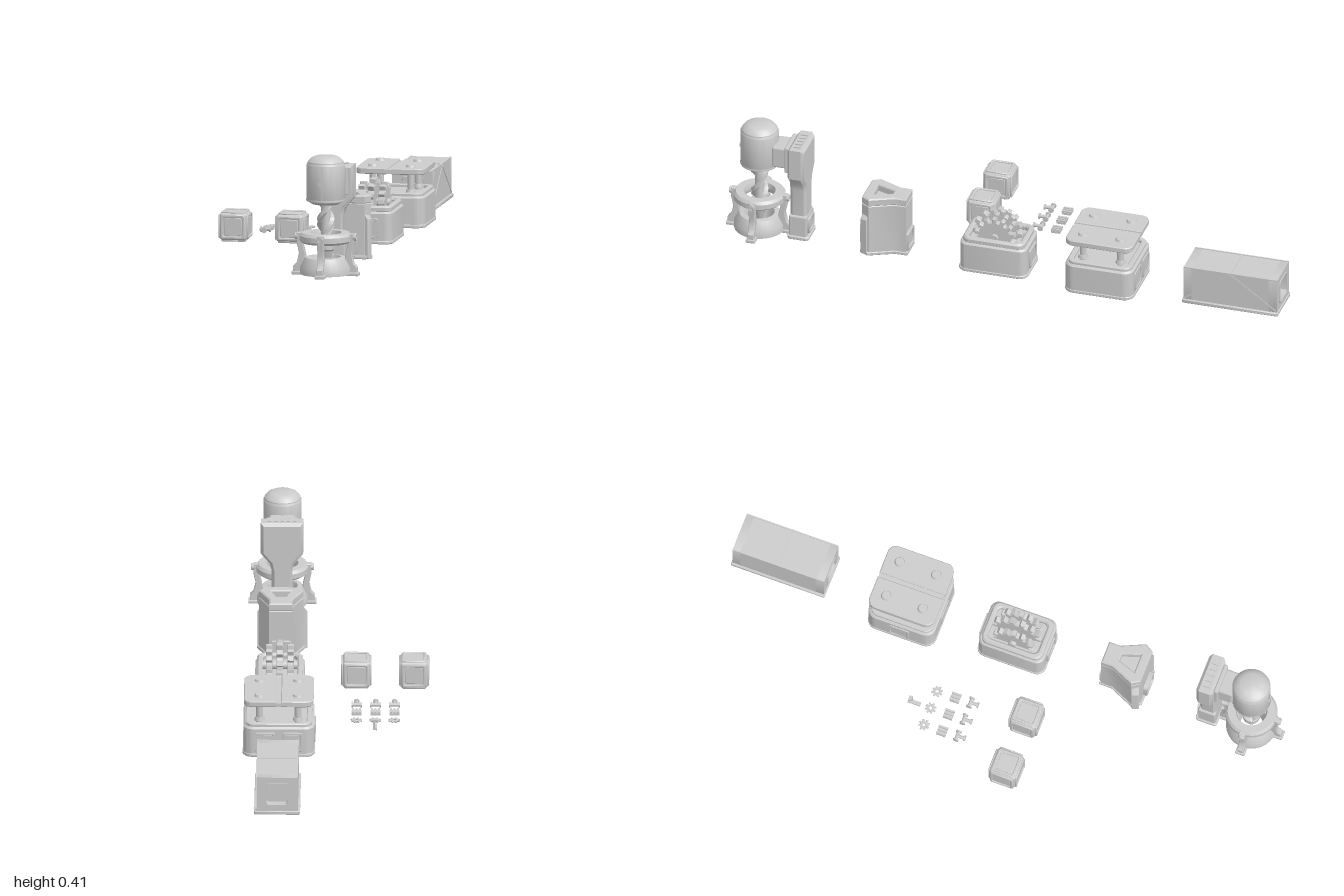
import * as THREE from 'three';
import { toCreasedNormals } from 'three/addons/utils/BufferGeometryUtils.js';
import { RoundedBoxGeometry } from 'three/addons/geometries/RoundedBoxGeometry.js';

const grey = new THREE.MeshStandardMaterial({ color: 0xcccccc });
const greyDouble = new THREE.MeshStandardMaterial({ color: 0xcccccc, side: THREE.DoubleSide });

function add(parent, name, geo, x = 0, y = 0, z = 0, mat = grey) {
  const m = new THREE.Mesh(geo, mat);
  m.name = name;
  m.position.set(x, y, z);
  parent.add(m);
  return m;
}
function group(parent, name, x = 0, y = 0, z = 0) {
  const g = new THREE.Group();
  g.name = name;
  g.position.set(x, y, z);
  parent.add(g);
  return g;
}
const box = (w, h, d) => new THREE.BoxGeometry(w, h, d);
const cyl = (r, h, n = 24, r2 = r) => new THREE.CylinderGeometry(r2, r, h, n);
const poly = pts => new THREE.Shape(pts.map(p => new THREE.Vector2(p[0], p[1])));
const crease = g => toCreasedNormals(g, 0.6);

// Rectangle with rounded corners, centred on the origin
function roundRect(w, h, r) {
  const s = new THREE.Shape(), a = w / 2, b = h / 2;
  s.absarc(a - r, b - r, r, 0, Math.PI / 2);
  s.absarc(-a + r, b - r, r, Math.PI / 2, Math.PI);
  s.absarc(-a + r, -b + r, r, Math.PI, Math.PI * 1.5);
  s.absarc(a - r, -b + r, r, Math.PI * 1.5, Math.PI * 2);
  return s;
}
// Extrusion from z = 0 to z = depth; the bevel stays inside the outline
function extrude(shape, depth, bevel = 0) {
  const g = new THREE.ExtrudeGeometry(shape, {
    depth: depth - 2 * bevel, bevelEnabled: bevel > 0, bevelSize: bevel, bevelThickness: bevel,
    bevelOffset: -bevel, bevelSegments: 1, curveSegments: 6,
  });
  return crease(g.translate(0, 0, bevel));
}
// Flat shape in the ground plane (shape y becomes -z), raised upward
const slab = (shape, h, bevel = 0) => extrude(shape, h, bevel).rotateX(-Math.PI / 2);

function ringShape(w, h, r, t) {
  const s = roundRect(w, h, r);
  s.holes.push(roundRect(w - 2 * t, h - 2 * t, r * 0.6));
  return s;
}
// Raised frame with an inset plate, on a wall turned by angle about y
function panel(parent, name, w, h, x, y, z, angle, depth = 0.008) {
  const g = group(parent, name, x, y, z);
  g.rotation.y = angle;
  add(g, 'panelFrame', extrude(ringShape(w, h, 0.008, 0.008), depth, 0.001), 0, 0, -0.002);
  add(g, 'panelPlate', box(w - 0.018, h - 0.018, 0.004));
}

function gearShape(r, inner, teeth) {
  const pts = [];
  for (let i = 0; i < teeth; i++) {
    [[0, inner], [0.28, inner], [0.38, r], [0.78, r], [0.9, inner]].forEach(([f, q]) => {
      const a = (i + f) / teeth * Math.PI * 2;
      pts.push([Math.cos(a) * q, Math.sin(a) * q]);
    });
  }
  return poly(pts);
}

function storageContainer(root) {
  const g = group(root, 'storageContainer', 0.194, 0, -0.828);
  add(g, 'baseFlange', slab(roundRect(0.158, 0.344, 0.006), 0.013, 0.002));
  add(g, 'containerCore', box(0.143, 0.126, 0.28), 0, 0.074, 0);
  for (const s of [-1, 1]) {
    // end wall with a deep opening
    const wall = roundRect(0.143, 0.126, 0.005);
    wall.holes.push(roundRect(0.075, 0.075, 0.012));
    const end = add(g, 'endWall', extrude(wall, 0.03), 0, 0.074, s * 0.138);
    end.rotation.y = s > 0 ? 0 : Math.PI;
    const rim = add(g, 'openingRim', extrude(ringShape(0.087, 0.087, 0.014, 0.006), 0.004), 0, 0.074, s * 0.167);
    rim.rotation.y = s > 0 ? 0 : Math.PI;
    add(g, 'topRail', box(0.005, 0.004, 0.336), s * 0.069, 0.137, 0);
    // diagonal side braces
    const brace = add(g, 'sideBrace', box(0.003, 0.005, 0.2), 0.072, 0.075, s * 0.083);
    brace.rotation.x = s * 0.62;
  }
  add(g, 'roofSeam', box(0.143, 0.002, 0.004), 0, 0.138, 0);
}

function press(root) {
  const g = group(root, 'press', 0.194, 0, -0.366);
  add(g, 'pressBase', slab(roundRect(0.244, 0.244, 0.035), 0.105, 0.006), 0, 0.004, 0);
  add(g, 'pressFoot', slab(roundRect(0.248, 0.248, 0.037), 0.012, 0.002));
  add(g, 'baseRim', slab(ringShape(0.228, 0.228, 0.03, 0.018), 0.014, 0.003), 0, 0.106, 0);
  for (const s of [-1, 1]) {
    // half of the upper plate, rounded on its outer corners
    const half = new THREE.Shape();
    half.moveTo(0.008, -0.12);
    half.lineTo(0.09, -0.12);
    half.absarc(0.09, -0.09, 0.03, -Math.PI / 2, 0);
    half.absarc(0.09, 0.09, 0.03, 0, Math.PI / 2);
    half.lineTo(0.008, 0.12);
    const plate = add(g, 'pressPlate', slab(half, 0.021, 0.003), 0, 0.184, 0);
    if (s < 0) plate.rotation.y = Math.PI;
    for (const t of [-1, 1]) {
      add(g, 'pillar', cyl(0.012, 0.08), s * 0.066, 0.148, t * 0.067);
      add(g, 'pillarCollar', cyl(0.018, 0.012, 24, 0.015), s * 0.066, 0.122, t * 0.067);
      add(g, 'plateBolt', cyl(0.019, 0.009, 24, 0.015), s * 0.066, 0.208, t * 0.067);
    }
    panel(g, 'backPanel', 0.07, 0.07, s * 0.047, 0.056, -0.122, Math.PI, 0.006);
  }
  add(g, 'plateSpine', box(0.02, 0.014, 0.236), 0, 0.192, 0);
  panel(g, 'frontPanel', 0.075, 0.07, 0, 0.056, 0.122, 0, 0.006);
  panel(g, 'sidePanel', 0.075, 0.07, -0.122, 0.056, 0, -Math.PI / 2, 0.006);
}

function crusher(root) {
  const g = group(root, 'crusher', 0.195, 0, 0.024);
  add(g, 'crusherBase', slab(roundRect(0.17, 0.24, 0.03), 0.108, 0.006), 0, 0.003, 0);
  add(g, 'crusherFoot', slab(roundRect(0.174, 0.248, 0.032), 0.011, 0.002));
  add(g, 'hopperRim', slab(ringShape(0.158, 0.222, 0.028, 0.02), 0.024, 0.006), 0, 0.106, 0);
  // three toothed wheels on one axle
  [[-0.037, 0.074], [0, 0.09], [0.037, 0.074]].forEach(([x, r], i) => {
    const wheel = add(g, 'toothedWheel', extrude(gearShape(r, r * 0.8, 14), 0.022, 0.002), x - 0.011, 0.126, 0);
    wheel.rotation.set(i % 2 * 0.2, Math.PI / 2, 0, 'XYZ');
  });
  add(g, 'axle', cyl(0.014, 0.12).rotateZ(Math.PI / 2), 0, 0.128, 0);
  panel(g, 'frontPanel', 0.075, 0.07, 0, 0.055, 0.12, 0);
  panel(g, 'backPanel', 0.075, 0.07, 0, 0.055, -0.12, Math.PI);
}

function silo(root) {
  const g = group(root, 'silo', 0.195, 0, 0.42);
  const outline = k => poly([[-0.042, 0.078], [-0.042, 0.035], [-0.08, -0.05], [-0.062, -0.08],
    [0.062, -0.08], [0.08, -0.05], [0.042, 0.035], [0.042, 0.078]].map(p => [p[0] * k, p[1] * k]));
  const well = () => poly([[-0.034, -0.045], [0.034, -0.045], [0.012, 0.018], [-0.012, 0.018]]);
  add(g, 'siloBody', slab(outline(0.96), 0.19, 0.005), 0, 0.005, 0);
  const top = outline(0.96);
  top.holes.push(well());
  add(g, 'siloTop', slab(top, 0.029, 0.004), 0, 0.191, 0);
  add(g, 'siloFoot', slab(outline(1.04), 0.012, 0.002));
  for (const s of [-1, 1]) {
    // corner buttresses with sloping tops
    const rib = extrude(poly([[0, 0], [0.022, 0], [0.022, 0.135], [0, 0.165]]), 0.026, 0.002);
    const m = add(g, 'cornerButtress', rib, s * 0.061, 0.003, 0.05 + (s > 0 ? 0.013 : -0.013));
    m.rotation.y = s > 0 ? -0.35 : Math.PI + 0.35;
    m.position.z = s > 0 ? 0.047 : 0.072;
  }
  panel(g, 'frontHatch', 0.07, 0.07, 0, 0.055, 0.078, 0, 0.016);
  panel(g, 'backHatch', 0.07, 0.07, 0, 0.048, -0.075, Math.PI, 0.01);
}

function drill(root) {
  const g = group(root, 'drillStation', 0.195, 0, 0.882);
  const lathe = (name, pts) => add(g, name,
    crease(new THREE.LatheGeometry(pts.map(p => new THREE.Vector2(p[0], p[1])), 32)), 0, 0, 0, greyDouble);
  lathe('baseSkirt', [[0.04, 0.004], [0.088, 0.004], [0.088, 0.03], [0.07, 0.062], [0.052, 0.064], [0.045, 0.045], [0.04, 0.004]]);
  lathe('guideRing', [[0.055, 0.114], [0.08, 0.112], [0.09, 0.12], [0.09, 0.138], [0.082, 0.148], [0.055, 0.148], [0.05, 0.13], [0.055, 0.114]]);
  lathe('motorHousing', [[0, 0.247], [0.045, 0.247], [0.062, 0.256], [0.066, 0.265], [0.066, 0.384], [0.062, 0.39],
    [0.062, 0.394], [0.052, 0.406], [0.038, 0.413], [0, 0.413]]);
  lathe('chuck', [[0, 0.08], [0.022, 0.08], [0.03, 0.09], [0.03, 0.115], [0, 0.13]]);
  lathe('motorBand', [[0.0665, 0.258], [0.0675, 0.262], [0.0665, 0.266]]);
  add(g, 'drillTip', cyl(0.008, 0.06, 20, 0.026), 0, 0.055, 0);
  add(g, 'motorSeam', box(0.004, 0.12, 0.004), 0, 0.325, 0.066);
  add(g, 'motorLatch', box(0.026, 0.012, 0.006), 0, 0.323, 0.066);
  // twisted auger
  const bit = box(0.056, 0.14, 0.02).toNonIndexed() && new THREE.BoxGeometry(0.056, 0.14, 0.02, 4, 40, 2);
  const p = bit.attributes.position, v = new THREE.Vector3(), up = new THREE.Vector3(0, 1, 0);
  for (let i = 0; i < p.count; i++) {
    v.fromBufferAttribute(p, i).applyAxisAngle(up, v.y * 36);
    p.setXYZ(i, v.x, v.y, v.z);
  }
  add(g, 'auger', crease(bit), 0, 0.18, 0);
  add(g, 'augerShaft', cyl(0.016, 0.15), 0, 0.18, 0);
  // four supports joining the feet to the ring
  for (let i = 0; i < 4; i++) {
    const leg = group(g, 'support');
    leg.rotation.y = i * Math.PI / 2;
    add(leg, 'foot', new RoundedBoxGeometry(0.034, 0.012, 0.045, 1, 0.003), 0, 0.006, 0.095);
    const rib = poly([[0.065, 0.004], [0.112, 0.004], [0.112, 0.03], [0.1, 0.042], [0.092, 0.075], [0.1, 0.112],
      [0.1, 0.146], [0.078, 0.146], [0.078, 0.105], [0.07, 0.07]]);
    add(leg, 'supportRib', extrude(rib, 0.022, 0.002).rotateY(-Math.PI / 2), 0.011, 0, 0);
    add(leg, 'supportBolt', cyl(0.012, 0.012, 20).rotateX(Math.PI / 2), 0, 0.133, 0.1);
    add(leg, 'boltRim', new THREE.TorusGeometry(0.009, 0.002, 6, 20), 0, 0.133, 0.106);
  }
  // rear column: broad head, tapered waist, base with hatch
  const side = [[0.036, 0.004], [0.036, 0.19], [0.042, 0.215], [0.073, 0.252], [0.073, 0.366]];
  const outline = poly([...side, ...side.slice().reverse().map(q => [-q[0], q[1]])]);
  add(g, 'column', extrude(outline, 0.06, 0.01), 0, 0, -0.178);
  add(g, 'columnFoot', slab(roundRect(0.1, 0.078, 0.012), 0.014, 0.003), 0, 0, -0.15);
  add(g, 'columnBase', new RoundedBoxGeometry(0.088, 0.085, 0.064, 1, 0.006), 0, 0.048, -0.149);
  panel(g, 'columnHatch', 0.06, 0.06, 0, 0.05, -0.182, Math.PI);
  add(g, 'motorMount', new RoundedBoxGeometry(0.09, 0.08, 0.07, 1, 0.008), 0, 0.312, -0.09);
  add(g, 'mountCollar', new RoundedBoxGeometry(0.11, 0.1, 0.016, 1, 0.005), 0, 0.312, -0.112);
  for (let i = -2; i <= 2; i++) add(g, 'columnCapRib', box(0.012, 0.006, 0.024), i * 0.022, 0.367, -0.148);
}

function crate(root, x) {
  const g = group(root, 'crate', x, 0.054, 0.155);
  add(g, 'crateBody', new RoundedBoxGeometry(0.095, 0.095, 0.095, 2, 0.01));
  for (const [rx, ry] of [[0, 0], [0, 1], [0, 2], [0, 3], [1, 0], [-1, 0]]) {
    const face = group(g, 'crateFace');
    face.rotation.set(rx * Math.PI / 2, ry * Math.PI / 2, 0);
    add(face, 'faceFrame', extrude(ringShape(0.084, 0.084, 0.008, 0.009), 0.007, 0.002), 0, 0, 0.045);
    add(face, 'facePlate', extrude(roundRect(0.06, 0.06, 0.006), 0.003, 0.001), 0, 0, 0.046);
  }
}

function smallParts(root) {
  [-0.2, -0.135, -0.07].forEach(x => {
    const cog = gearShape(0.02, 0.014, 8);
    cog.holes.push(new THREE.Path().absarc(0, 0, 0.006, 0, Math.PI * 2));
    add(root, 'smallCog', slab(cog, 0.006, 0.001), x, 0.003, -0.172);
    // ridged ingot
    const g = group(root, 'ridgedBlock', x, 0, -0.105);
    add(g, 'blockBase', box(0.034, 0.008, 0.032), 0, 0.006, 0);
    for (let i = -1; i <= 1; i++) add(g, 'blockRidge', box(0.007, 0.007, 0.034), i * 0.012, 0.012, 0);
    // flanged pipe tee
    const t = group(root, 'pipeTee', x, 0.012, -0.042);
    add(t, 'crossPipe', cyl(0.006, 0.034, 12).rotateZ(Math.PI / 2), 0, 0, -0.008);
    add(t, 'stemPipe', cyl(0.006, 0.028, 12).rotateX(Math.PI / 2), 0, 0, 0.006);
    for (const s of [-1, 1]) add(t, 'pipeFlange', cyl(0.01, 0.005, 12).rotateZ(Math.PI / 2), s * 0.016, 0, -0.008);
    add(t, 'pipeFlange', cyl(0.01, 0.005, 12).rotateX(Math.PI / 2), 0, 0, 0.019);
  });
  // small upright lever
  const l = group(root, 'lever', -0.135, 0, -0.232);
  add(l, 'leverBase', box(0.014, 0.006, 0.045), 0, 0.006, 0);
  add(l, 'leverArm', box(0.006, 0.034, 0.012), 0.004, 0.024, -0.014);
  add(l, 'leverHook', box(0.018, 0.006, 0.012), -0.002, 0.038, -0.014);
}

export function createModel() {
  const root = new THREE.Group();
  root.name = 'workshopMachines';
  storageContainer(root);
  press(root);
  crusher(root);
  silo(root);
  drill(root);
  [-0.265, -0.067].forEach(x => crate(root, x));
  smallParts(root);
  return root;
}
